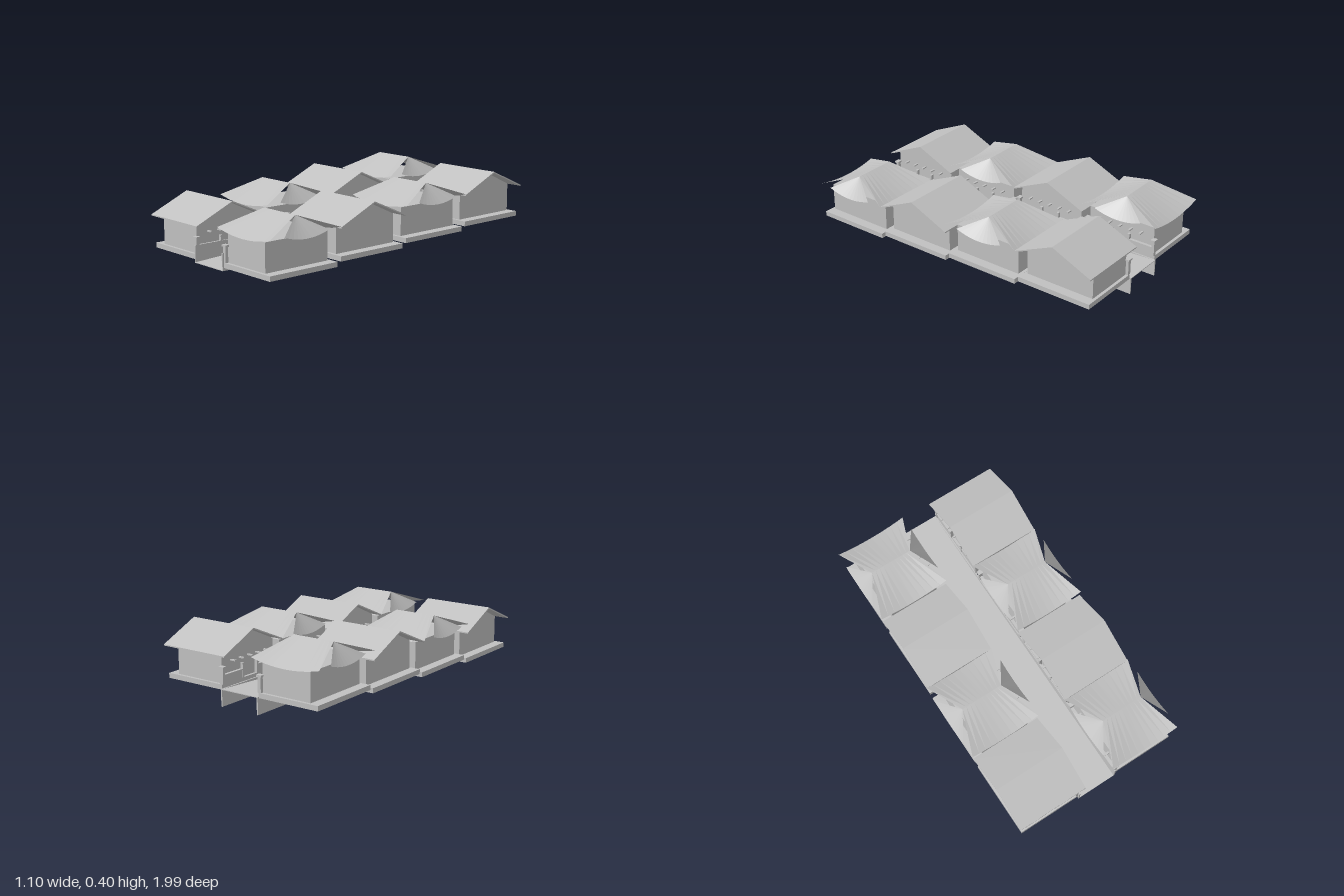
import * as THREE from 'three';

const stone = new THREE.MeshStandardMaterial({ color: 0xc0c0c0 });
stone.name = 'pale stone grey';
stone.side = THREE.DoubleSide;
stone.flatShading = true;

function add(parent, name, geometry) {
  const mesh = new THREE.Mesh(geometry, stone);
  mesh.name = name;
  parent.add(mesh);
  return mesh;
}

// box given by its minimum and maximum corners
function box(parent, name, x0, x1, y0, y1, z0, z1) {
  const mesh = add(parent, name, new THREE.BoxGeometry(x1 - x0, y1 - y0, z1 - z0));
  mesh.position.set((x0 + x1) / 2, (y0 + y1) / 2, (z0 + z1) / 2);
  return mesh;
}

// outline in (z, y), extruded along x from x0 to x1
function extrudeX(parent, name, points, x0, x1) {
  const shape = new THREE.Shape(points.map(([z, y]) => new THREE.Vector2(-z, y)));
  const geometry = new THREE.ExtrudeGeometry(shape, { depth: x1 - x0, bevelEnabled: false });
  geometry.rotateY(Math.PI / 2);
  geometry.translate(x0, 0, 0);
  return add(parent, name, geometry);
}

// strip of faces between two rows of points
function strip(parent, name, top, bottom) {
  const pos = [];
  for (let i = 0; i + 1 < top.length; i++) {
    pos.push(...bottom[i], ...bottom[i + 1], ...top[i + 1]);
    pos.push(...bottom[i], ...top[i + 1], ...top[i]);
  }
  const geometry = new THREE.BufferGeometry();
  geometry.setAttribute('position', new THREE.Float32BufferAttribute(pos, 3));
  geometry.computeVertexNormals();
  return add(parent, name, geometry);
}

// straight two-sided roof with closed gable ends below it
function gableRoof(house) {
  extrudeX(house, 'gableRoof', [
    [-0.25, 0.212], [0, 0.322], [0.25, 0.212],
    [0.25, 0.205], [0, 0.314], [-0.25, 0.205],
  ], 0.097, 0.543);
  extrudeX(house, 'gableWall', [[-0.217, 0.213], [0.217, 0.213], [0, 0.314]], 0.145, 0.465);
}

// roof with upturned eaves and two separate end flaps
function flaredRoof(house) {
  const n = 10, ridgeY = 0.328;
  for (const s of [1, -1]) {
    const ridge = [], eave = [];
    for (let i = 0; i <= n; i++) {
      const t = (i / n) * 2 - 1;
      ridge.push([0.32 + s * t * 0.132, ridgeY, 0]);
      eave.push([0.32 + s * t * 0.227, 0.211 + 0.029 * t * t, s * 0.25]);
    }
    strip(house, 'flaredRoofSlope', ridge, eave);

    const apex = [], edge = [];
    for (let i = 0; i <= n; i++) {
      const t = (i / n) * 2 - 1;
      apex.push([0.32 + s * 0.132, ridgeY, 0]);
      edge.push([0.32 + s * 0.23, 0.215 + 0.028 * t * t, -s * t * 0.155]);
    }
    strip(house, 'roofEndFlap', apex, edge);
  }
}

// fence along the street: end posts, low wall with a gate gap, rail and brackets
function streetFence(house) {
  for (const s of [1, -1]) {
    const z = s * 0.225;
    box(house, 'fencePost', 0.122, 0.144, 0.046, 0.138, z - 0.009, z + 0.009);
    box(house, 'postCap', 0.116, 0.152, 0.136, 0.146, z - 0.014, z + 0.014);
    box(house, 'gatePost', 0.124, 0.142, 0.046, 0.13, s * 0.06 - 0.007, s * 0.06 + 0.007);
    const [a, b] = s > 0 ? [0.06, 0.22] : [-0.22, -0.06];
    box(house, 'lowWall', 0.128, 0.138, 0.046, 0.09, a, b);
    box(house, 'fenceRail', 0.124, 0.142, 0.09, 0.098, a, b);
  }
  for (let i = 0; i < 5; i++) {
    const z = -0.14 + i * 0.07;
    box(house, 'wallBracket', 0.11, 0.146, 0.16, 0.167, z - 0.006, z + 0.006);
  }
}

function makeHouse(flared) {
  const house = new THREE.Group();
  house.name = flared ? 'flaredRoofHouse' : 'gableRoofHouse';
  box(house, 'plotSlab', 0.13, 0.525, 0.017, 0.046, -0.235, 0.235);
  box(house, 'houseWalls', 0.145, 0.465, 0.046, 0.214, -0.217, 0.217);
  streetFence(house);
  if (flared) flaredRoof(house);
  else gableRoof(house);
  return house;
}

export function createModel() {
  const model = new THREE.Group();
  model.name = 'terracedStreet';

  // sloping street between two retaining walls
  extrudeX(model, 'streetRamp', [
    [0.988, 0], [0.988, 0.004], [-0.988, 0.1], [-0.988, 0.096],
  ], -0.122, 0.122);
  for (const s of [1, -1]) {
    box(model, 'retainingWall', s * 0.126 - 0.004, s * 0.126 + 0.004, 0, 0.1, -0.988, 0.988);
  }

  // four houses on each side, each one step higher; roof types alternate
  for (let k = 0; k < 4; k++) {
    for (const s of [1, -1]) {
      const house = makeHouse((k % 2 === 0) === (s > 0));
      if (s < 0) house.scale.x = -1;
      house.position.set(0, 0.0255 * k, 0.744 - 0.496 * k);
      model.add(house);
    }
  }
  return model;
}
